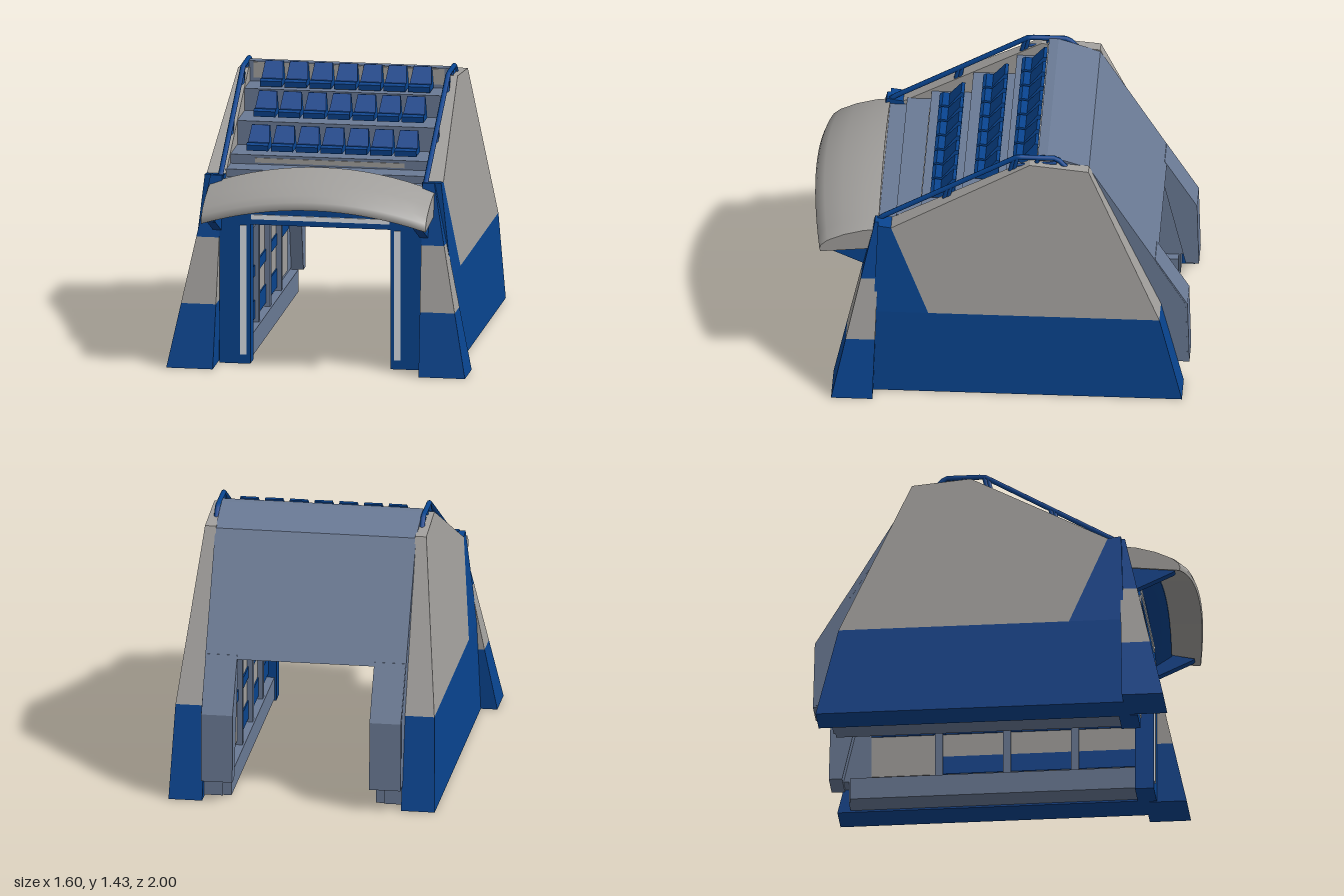
import * as THREE from 'three';
import { toCreasedNormals } from 'three/addons/utils/BufferGeometryUtils.js';

const material = (name, color) => {
  const m = new THREE.MeshStandardMaterial({ color });
  m.name = name;
  return m;
};

// Extrude a [z, y] profile along x from x0 to x1
function slab(points, x0, x1) {
  const shape = new THREE.Shape(points.map(([z, y]) => new THREE.Vector2(-z, y)));
  const g = new THREE.ExtrudeGeometry(shape, { depth: x1 - x0, bevelEnabled: false });
  return g.rotateY(Math.PI / 2).translate(x0, 0, 0);
}

function box(x0, x1, y0, y1, z0, z1) {
  return new THREE.BoxGeometry(x1 - x0, y1 - y0, z1 - z0)
    .translate((x0 + x1) / 2, (y0 + y1) / 2, (z0 + z1) / 2);
}

// Skin a series of closed cross-sections and cap both ends
function loft(rings) {
  const p = [];
  const tri = (a, b, c) => p.push(...a, ...b, ...c);
  const n = rings[0].length;
  for (let i = 0; i < rings.length - 1; i++) {
    for (let j = 0; j < n; j++) {
      const k = (j + 1) % n;
      tri(rings[i][j], rings[i][k], rings[i + 1][k]);
      tri(rings[i][j], rings[i + 1][k], rings[i + 1][j]);
    }
  }
  const first = rings[0], last = rings[rings.length - 1];
  for (let j = 1; j < n - 1; j++) {
    tri(first[0], first[j + 1], first[j]);
    tri(last[0], last[j], last[j + 1]);
  }
  const g = new THREE.BufferGeometry();
  g.setAttribute('position', new THREE.Float32BufferAttribute(p, 3));
  return toCreasedNormals(g, 0.8);
}

// Mirrored copy across x with the corner order corrected
function mirrored(geometry) {
  const g = geometry.index ? geometry.toNonIndexed() : geometry.clone();
  const p = g.attributes.position, nr = g.attributes.normal;
  for (const a of [p, nr]) {
    for (let i = 0; i < a.count; i += 3) {
      const v = [0, 2, 1].map((k) => [-a.getX(i + k), a.getY(i + k), a.getZ(i + k)]);
      v.forEach((c, k) => a.setXYZ(i + k, ...c));
    }
  }
  return g;
}

// Section [z, y] swept over the width, dropping and receding towards the ends
function arched(section, half) {
  const rings = [];
  for (let i = 0; i <= 16; i++) {
    const x = -half + (2 * half * i) / 16, t = (x / 0.6) ** 2;
    rings.push(section.map(([z, y]) => [x, y - 0.105 * t, z - 0.05 * t * (z - 0.64) / 0.36]));
  }
  return loft(rings);
}

export function createModel() {
  const blue = material('blue paint', 0x08448f);
  const grey = material('warm grey panel', 0xa2a09d);
  const slate = material('slate concrete', 0x6a7a95);
  const white = material('white trim', 0xe2e6eb);
  const model = new THREE.Group();
  model.name = 'grandstandTunnel';

  const add = (name, geometry, mat, parent = model) => {
    const m = new THREE.Mesh(geometry, mat);
    m.name = name;
    parent.add(m);
    return m;
  };
  const pair = (name, geometry, mat) => {
    add(name + 'Left', geometry, mat);
    add(name + 'Right', mirrored(geometry), mat);
  };

  // Side walls, leaning inwards towards the top
  const leaning = (points) => {
    const g = slab(points, 0.53, 1), p = g.attributes.position;
    for (let i = 0; i < p.count; i++) {
      const y = p.getY(i);
      if (p.getX(i) > 0.9) p.setX(i, y <= 0.51 ? 0.71 - 0.04 * y : 0.69 - 0.115 * (y - 0.5));
    }
    g.computeVertexNormals();
    return g;
  };
  pair('wallBase', leaning([[0.68, 0.01], [0.66, 0.5], [-0.85, 0.5], [-0.97, 0.01]]), blue);
  pair('wallPanel', leaning([[0.37, 0.5], [0.57, 1.0], [-0.16, 1.4], [-0.47, 1.37], [-0.85, 0.5]]), grey);
  pair('wallFront', leaning([[0.66, 0.5], [0.64, 1.01], [0.57, 1.0], [0.37, 0.5]]), blue);

  // Tapered front buttresses in three bands
  const buttressRing = (y) => {
    const x0 = 0.55 - 0.015 * y, x1 = 0.8 - 0.2 * y, z0 = 0.66 - 0.03 * y, z1 = 0.88 - 0.22 * y;
    return [[x0, y, z1], [x1, y, z1], [x1, y, z0], [x0, y, z0]];
  };
  [['buttressFoot', 0.01, 0.345, blue], ['buttressBand', 0.345, 0.69, grey], ['buttressTop', 0.69, 1.01, blue]]
    .forEach(([name, y0, y1, mat]) => pair(name, loft([buttressRing(y0), buttressRing(y1)]), mat));

  // Stepped seating deck with sloping back, a shell that is open below
  add('seatingDeck', slab([
    [0.64, 0.76], [0.64, 0.98], [0.55, 0.98], [0.55, 1.02], [0.42, 1.02], [0.42, 1.07],
    [0.2, 1.07], [0.2, 1.2], [-0.03, 1.2], [-0.03, 1.32], [-0.2, 1.32], [-0.2, 1.43],
    [-0.25, 1.43], [-0.47, 1.36], [-0.83, 0.76], [-0.8, 0.76], [-0.46, 1.32], [-0.25, 1.39],
    [-0.22, 1.28], [0.17, 1.03], [0.4, 0.98], [0.6, 0.94], [0.61, 0.76],
  ], -0.535, 0.535), slate);
  pair('deckCheek', slab([[-0.47, 1.355], [-0.828, 0.76], [-0.7, 0.76], [-0.44, 1.355]], 0.5, 0.534), slate);
  add('lowerStepStrip', box(-0.4, 0.4, 1.03, 1.055, 0.42, 0.425), grey);
  add('topRowBacking', box(-0.51, 0.51, 1.34, 1.425, -0.2, -0.195), grey);

  // Tunnel walls, rear legs and inner framing
  pair('tunnelWall', slab([
    [0.64, 0.02], [0.64, 0.77], [-0.82, 0.77], [-0.98, 0.5], [-0.99, 0.14], [-0.9, 0.14], [-0.9, 0.02],
  ], 0.43, 0.534), slate);
  pair('rearLeg', slab([[-0.82, 0.78], [-0.99, 0.5], [-1.0, 0.13], [-0.93, 0.13], [-0.78, 0.78]], 0.365, 0.532), slate);
  pair('tunnelBottomRail', box(0.385, 0.43, 0.02, 0.14, -0.89, 0.64), slate);
  pair('tunnelTopRail', box(0.39, 0.43, 0.7, 0.76, -0.78, 0.64), slate);
  for (const z of [-0.42, -0.06, 0.3]) pair('tunnelPost', box(0.395, 0.43, 0.14, 0.7, z - 0.02, z + 0.02), slate);
  pair('tunnelPanel', box(0.424, 0.43, 0.16, 0.69, -0.78, 0.62), grey);
  pair('tunnelStripe', box(0.417, 0.424, 0.39, 0.45, -0.78, 0.62), blue);
  pair('tunnelLowerPatch', box(0.417, 0.424, 0.16, 0.26, -0.4, 0.62), blue);

  // Front portal frame with white trim
  const portal = new THREE.Shape([
    [-0.54, 0.01], [-0.375, 0.01], [-0.375, 0.765], [0.375, 0.765],
    [0.375, 0.01], [0.54, 0.01], [0.54, 0.95], [-0.54, 0.95],
  ].map(([x, y]) => new THREE.Vector2(x, y)));
  add('portalFrame', new THREE.ExtrudeGeometry(portal, { depth: 0.1, bevelEnabled: false }).translate(0, 0, 0.62), blue);
  pair('portalTrim', box(0.395, 0.428, 0.06, 0.76, 0.72, 0.727), white);
  add('portalTopTrim', box(-0.37, 0.37, 0.795, 0.82, 0.72, 0.727), white);

  // Arched canopy with its blue support and end brackets beneath
  add('canopy', arched([
    [0.995, 0.918], [0.64, 0.95], [0.64, 1.07], [0.73, 1.06], [0.85, 1.03], [0.95, 0.99], [0.99, 0.96], [1.0, 0.935],
  ], 0.6), grey);
  add('canopySupport', arched([[0.82, 0.925], [0.715, 0.865], [0.66, 0.865], [0.66, 0.98], [0.82, 0.96]], 0.55), blue);
  pair('canopyBracket', slab([[0.92, 0.825], [0.66, 0.88], [0.66, 0.72], [0.7, 0.72], [0.91, 0.815]], 0.53, 0.575), blue);

  // Three rows of seven seats, narrowing at the top of the backrest
  const seat = slab([
    [0.065, 0], [0.068, 0.03], [0.05, 0.04], [0.015, 0.035], [-0.05, 0.115], [-0.067, 0.112], [-0.06, 0],
  ], -0.058, 0.058);
  const sp = seat.attributes.position;
  for (let i = 0; i < sp.count; i++) if (sp.getY(i) > 0.1) sp.setX(i, sp.getX(i) * 0.82);
  seat.computeVertexNormals();
  [[1.08, 0.305], [1.21, 0.075], [1.325, -0.13]].forEach(([y, z], row) => {
    const group = new THREE.Group();
    group.name = 'seatRow' + (row + 1);
    for (let i = -3; i <= 3; i++) add('seat', seat, blue, group).position.set(i * 0.132, y, z);
    model.add(group);
  });

  // Handrails along the wall tops, with a second bar over the crest
  const tube = (points, r) => {
    const path = new THREE.CurvePath();
    const v = points.map(([z, y]) => new THREE.Vector3(0.548, y, z));
    for (let i = 1; i < v.length; i++) path.add(new THREE.LineCurve3(v[i - 1], v[i]));
    return new THREE.TubeGeometry(path, points.length > 2 ? 40 : 1, r, 8);
  };
  pair('handrail', tube([[0.65, 0.98], [0.63, 1.01], [-0.09, 1.425], [-0.3, 1.425], [-0.35, 1.37]], 0.014), blue);
  pair('crestBar', tube([[-0.06, 1.37], [-0.3, 1.395]], 0.008), blue);
  for (const [z, y] of [[0.28, 1.21], [0.26, 1.22], [-0.07, 1.41], [-0.09, 1.42], [-0.2, 1.42]]) {
    pair('railPost', tube([[z + 0.02, y - 0.1], [z, y]], 0.012), blue);
  }
  return model;
}
